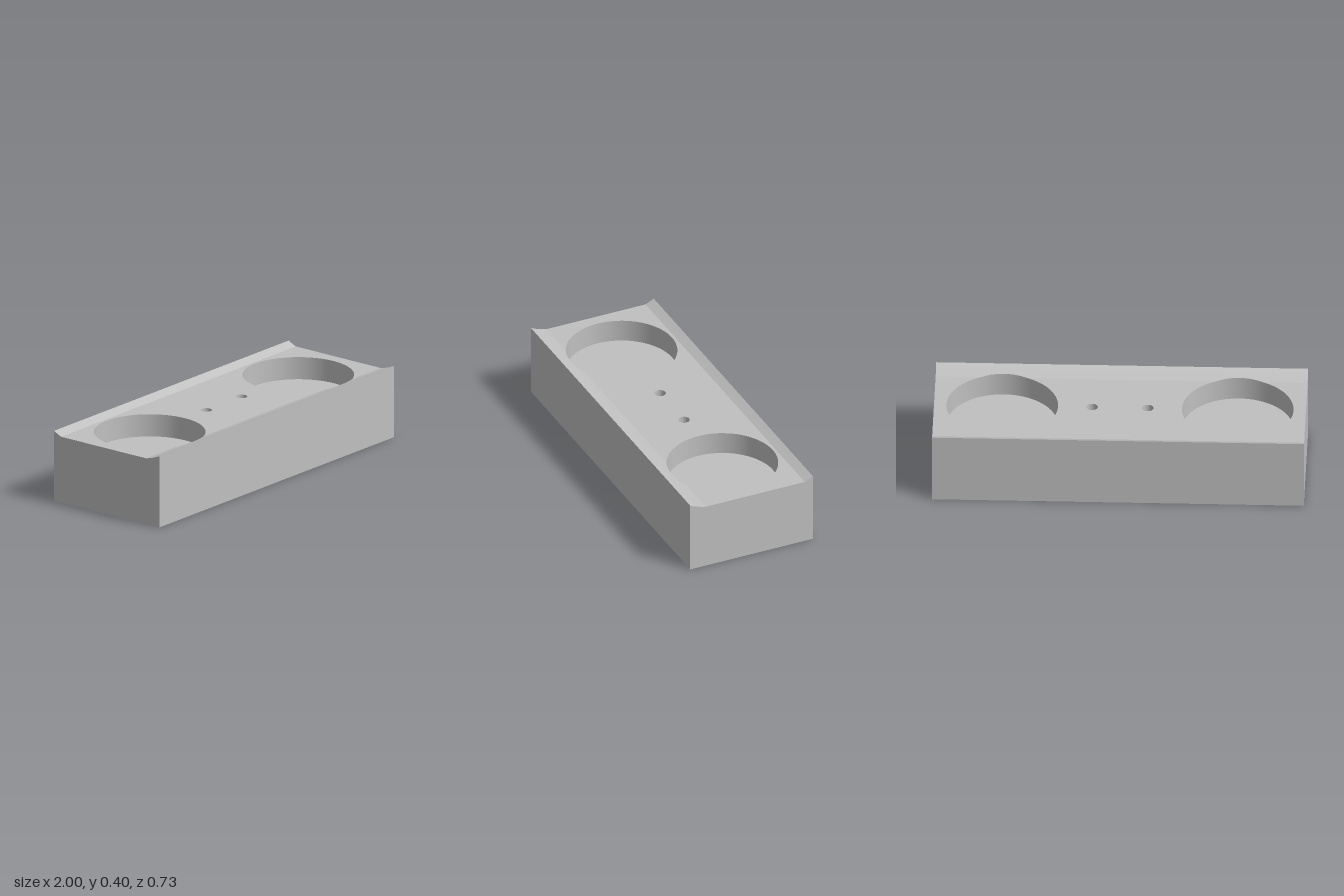
import * as THREE from 'three';

const X = 1, Z = 0.365;              // half length, half depth
const TOP = 0.372, FLOOR = 0.247;    // deck height, pocket floor height
const POCKET_X = 0.633, POCKET_R = 0.3;
const HOLE_X = 0.15, HOLE_R = 0.031;
// Deck section as [z, y], back lip to front lip
const SECTION = [
  [-Z, 0.395], [-0.34, 0.383], [-0.316, TOP], [0.273, TOP],
  [0.305, 0.38], [0.335, 0.39], [Z, 0.403],
];

// Deck height at a given z
function deckHeight(z) {
  for (let i = 1; i < SECTION.length; i++) {
    const [z0, y0] = SECTION[i - 1], [z1, y1] = SECTION[i];
    if (z <= z1 + 1e-6) return y0 + (y1 - y0) * (z - z0) / (z1 - z0);
  }
  return SECTION[SECTION.length - 1][1];
}

// Points [x, z] on a pocket rim between two angles
function rimArc(cx, a0, a1, n) {
  return Array.from({ length: n + 1 }, (_, i) => {
    const a = a0 + (a1 - a0) * i / n;
    return [cx + POCKET_R * Math.cos(a), POCKET_R * Math.sin(a)];
  });
}

function circlePath(cx, r) {
  return new THREE.Path().absarc(cx, 0, r, 0, Math.PI * 2, true);
}

// Upward sheet from [x, z] outline, draped on the deck section
function deckSheet(outline, holes = []) {
  const shape = new THREE.Shape(outline.map(([x, z]) => new THREE.Vector2(x, -z)));
  shape.holes.push(...holes);
  const geo = new THREE.ShapeGeometry(shape, 16).rotateX(-Math.PI / 2);
  const p = geo.attributes.position;
  for (let i = 0; i < p.count; i++) p.setY(i, deckHeight(p.getZ(i)));
  geo.computeVertexNormals();
  return geo;
}

// Open cylinder facing inward, from y0 up to the deck
function innerWall(cx, r, y0, segments) {
  const geo = new THREE.CylinderGeometry(r, r, 1, segments, 1, true);
  const p = geo.attributes.position, n = geo.attributes.normal;
  for (let i = 0; i < p.count; i++) {
    p.setY(i, p.getY(i) > 0 ? deckHeight(p.getZ(i)) : y0);
    n.setXYZ(i, -n.getX(i), 0, -n.getZ(i));
  }
  const idx = geo.index.array;
  for (let i = 0; i < idx.length; i += 3) [idx[i], idx[i + 1]] = [idx[i + 1], idx[i]];
  return geo.translate(cx, 0, 0);
}

export function createModel() {
  const group = new THREE.Group();
  const grey = new THREE.MeshStandardMaterial({ color: 0xc0c0c0 });
  grey.name = 'grey';
  const add = (name, geo) => {
    const mesh = new THREE.Mesh(geo, grey);
    mesh.name = name;
    group.add(mesh);
    return mesh;
  };
  const screwHoles = () => [-HOLE_X, HOLE_X].map((x) => circlePath(x, HOLE_R));

  // Deck: flat middle and lips; the pockets cut slightly into the front lip
  const cut = Math.asin(SECTION[3][0] / POCKET_R);
  for (let i = 1; i < SECTION.length; i++) {
    const z0 = SECTION[i - 1][0], z1 = SECTION[i][0];
    const arcs = (end, n) => [POCKET_X, -POCKET_X].flatMap((cx) => rimArc(cx, cut, end, n));
    if (i === 3) {
      add('deck', deckSheet(
        [[-X, z0], [X, z0], [X, z1], ...arcs(-Math.PI - cut, 64), [-X, z1]], screwHoles()));
    } else if (i === 4) {
      add('frontLip', deckSheet(
        [[X, z0], ...arcs(Math.PI - cut, 12), [-X, z0], [-X, z1], [X, z1]]));
    } else {
      add(i < 3 ? 'backLip' : 'frontLip', deckSheet([[-X, z0], [X, z0], [X, z1], [-X, z1]]));
    }
  }

  // Round pockets and through holes
  for (const s of [-1, 1]) {
    add('pocketWall', innerWall(s * POCKET_X, POCKET_R, FLOOR, 72));
    add('pocketFloor', new THREE.CircleGeometry(POCKET_R, 72)
      .rotateX(-Math.PI / 2).translate(s * POCKET_X, FLOOR, 0));
    add('screwHole', innerWall(s * HOLE_X, HOLE_R, 0, 32));
  }

  // Front and back walls
  const frontH = deckHeight(Z), backH = deckHeight(-Z);
  add('frontWall', new THREE.PlaneGeometry(2 * X, frontH).translate(0, frontH / 2, Z));
  add('backWall', new THREE.PlaneGeometry(2 * X, backH)
    .rotateY(Math.PI).translate(0, backH / 2, -Z));

  // End walls follow the deck section
  for (const s of [-1, 1]) {
    const pts = [[-Z, 0], ...SECTION, [Z, 0]].map(([z, y]) => new THREE.Vector2(-s * z, y));
    add(s > 0 ? 'leftEnd' : 'rightEnd', new THREE.ShapeGeometry(new THREE.Shape(pts))
      .rotateY(s * Math.PI / 2).translate(s * X, 0, 0));
  }

  // Underside
  const base = new THREE.Shape([[-X, -Z], [X, -Z], [X, Z], [-X, Z]]
    .map(([x, z]) => new THREE.Vector2(x, z)));
  base.holes.push(...screwHoles());
  add('underside', new THREE.ShapeGeometry(base, 16).rotateX(Math.PI / 2));

  return group;
}
